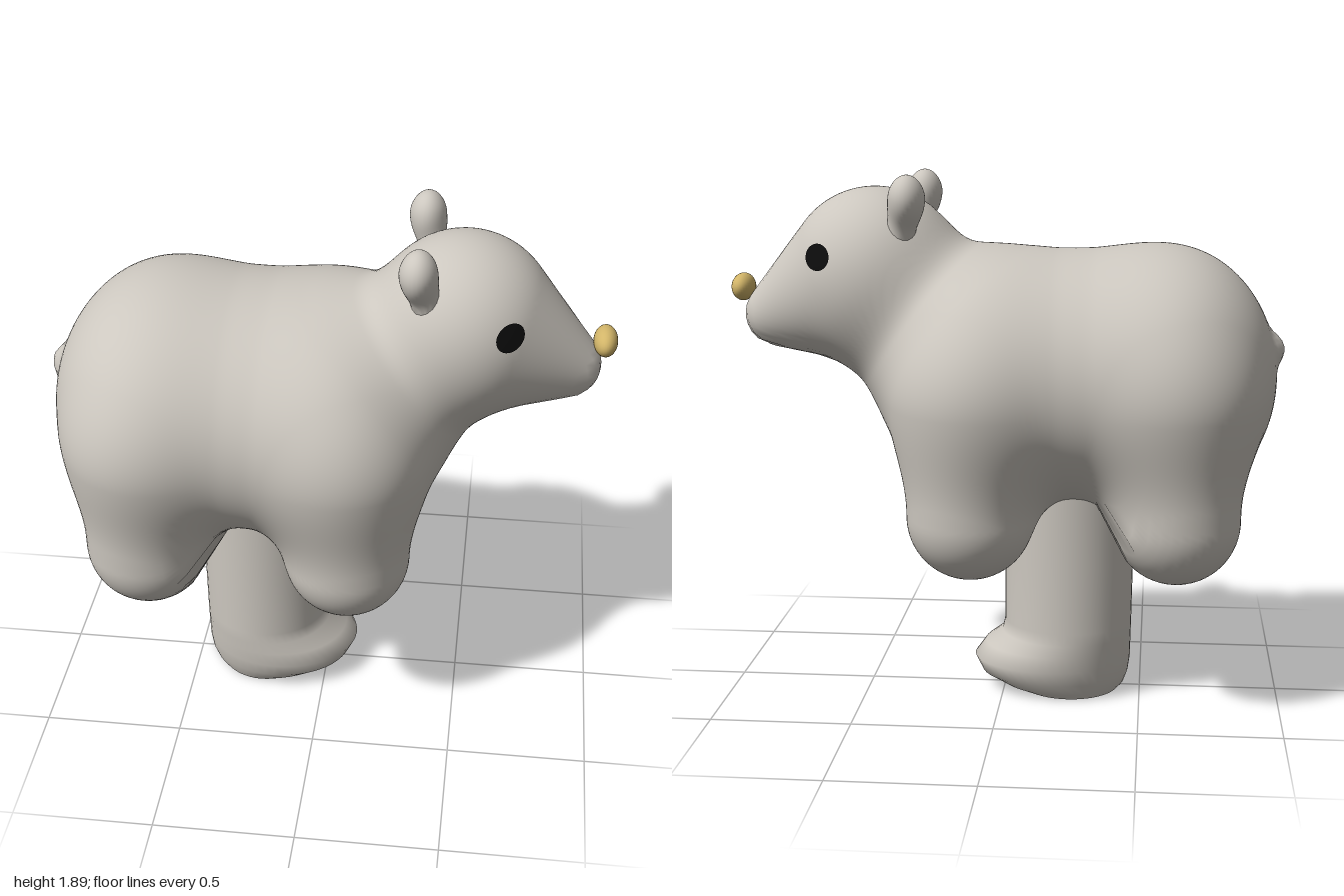
import * as THREE from 'three';

const V = (x, y, z) => new THREE.Vector3(x, y, z);
const mat = (name, color, side = THREE.FrontSide) => {
  const m = new THREE.MeshStandardMaterial({ color, side });
  m.name = name;
  return m;
};

// Distance to an ellipsoid
function ellipsoid(p, c, r) {
  const x = p.x - c.x, y = p.y - c.y, z = p.z - c.z;
  const k0 = Math.hypot(x / r.x, y / r.y, z / r.z);
  const k1 = Math.hypot(x / r.x ** 2, y / r.y ** 2, z / r.z ** 2);
  return k1 < 1e-6 ? -Math.min(r.x, r.y, r.z) : k0 * (k0 - 1) / k1;
}

// Distance to a round-ended cone from a (radius ra) to b (radius rb)
function roundCone(p, a, ra, b, rb) {
  const ab = b.clone().sub(a), ap = p.clone().sub(a), len = ab.length();
  const along = ap.dot(ab) / len;
  const across = Math.sqrt(Math.max(ap.lengthSq() - along * along, 0));
  const lean = (ra - rb) / Math.sqrt(len * len - (ra - rb) ** 2);
  const t = Math.min(Math.max((along - across * lean) / len, 0), 1);
  return Math.hypot(along - t * len, across) - (ra + (rb - ra) * t);
}

// Soft union of two distances
function blend(a, b, k) {
  const h = Math.max(k - Math.abs(a - b), 0) / k;
  return Math.min(a, b) - h * h * k / 4;
}

const REAR = V(-0.57, 1.17, 0), REAR_R = V(0.4, 0.47, 0.555);
const CHEST = V(0.04, 1.15, 0), CHEST_R = V(0.4, 0.475, 0.555);
const BELLY = V(-0.27, 1.17, 0), BELLY_R = V(0.6, 0.45, 0.515);
const HEAD = V(0.47, 1.52, 0), SNOUT = V(0.83, 1.38, 0);
const NECK_A = V(0.15, 1.25, 0), NECK_B = V(0.42, 1.45, 0);
const TAIL = V(-0.945, 1.27, 0), TAIL_R = V(0.05, 0.05, 0.05);
const LEGS = [-0.62, 0.1].map(x => [-1, 1].map(s => [V(x, 1.1, 0.3 * s), V(x, 0.705, 0.28 * s)]));

// The whole soft body: trunk, four stub legs, neck, head, snout and tail
function bodyField(p) {
  let d = blend(ellipsoid(p, REAR, REAR_R), ellipsoid(p, CHEST, CHEST_R), 0.1);
  d = blend(d, ellipsoid(p, BELLY, BELLY_R), 0.12);
  for (const [l, r] of LEGS) {
    const pair = blend(roundCone(p, l[0], 0.225, l[1], 0.225), roundCone(p, r[0], 0.225, r[1], 0.225), 0.2);
    d = blend(d, pair, 0.13);
  }
  d = blend(d, roundCone(p, NECK_A, 0.35, NECK_B, 0.27), 0.1);
  d = blend(d, roundCone(p, HEAD, 0.32, SNOUT, 0.12), 0.08);
  return blend(d, ellipsoid(p, TAIL, TAIL_R), 0.05);
}

function gradient(field, p, e = 0.002) {
  const g = V(0, 0, 0);
  for (const a of ['x', 'y', 'z']) {
    const q = p.clone();
    q[a] += e;
    const hi = field(q);
    q[a] -= 2 * e;
    g[a] = (hi - field(q)) / (2 * e);
  }
  return g;
}

// Shrink a sphere around the centre until it meets the field's surface
function shrinkWrap(field, centre, reach, cols, rows) {
  const geo = new THREE.SphereGeometry(1, cols, rows);
  const pos = geo.attributes.position, nor = geo.attributes.normal;
  const dir = V(0, 0, 0), p = V(0, 0, 0);
  const at = t => field(p.copy(centre).addScaledVector(dir, t));
  for (let i = 0; i < pos.count; i++) {
    dir.fromBufferAttribute(pos, i).normalize();
    const step = reach / 50;
    let hi = reach;
    while (hi > step && at(hi - step) > 0) hi -= step;
    let lo = hi - step;
    for (let n = 0; n < 12; n++) {
      const mid = (lo + hi) / 2;
      if (at(mid) > 0) hi = mid; else lo = mid;
    }
    at(hi);
    pos.setXYZ(i, p.x, p.y, p.z);
    const g = gradient(field, p).normalize();
    nor.setXYZ(i, g.x, g.y, g.z);
  }
  return geo;
}

// Pedestal rings: height, back x, front x, half width
function pedestalGeometry() {
  const rings = [
    [0.86, -0.47, 0, 0.235], [0.5, -0.47, 0, 0.236], [0.26, -0.466, 0.0, 0.237],
    [0.215, -0.465, 0.01, 0.238], [0.17, -0.464, 0.072, 0.24], [0.115, -0.463, 0.112, 0.242],
    [0.06, -0.455, 0.085, 0.226], [0.02, -0.44, 0.01, 0.2], [0, -0.42, -0.06, 0.185],
  ];
  const n = 48, pts = [], idx = [];
  for (const [y, back, front, half] of rings) {
    const c = (back + front) / 2, r = (front - back) / 2;
    for (let i = 0; i < n; i++) {
      const a = i / n * Math.PI * 2;
      pts.push(c + r * Math.cos(a), y, half * Math.sin(a));
    }
  }
  for (let j = 0; j < rings.length - 1; j++) {
    for (let i = 0; i < n; i++) {
      const a = j * n + i, b = j * n + (i + 1) % n;
      idx.push(a, b, a + n, b, b + n, a + n);
    }
  }
  // Flat sole with its own corners so its edge stays sharp
  const last = (rings.length - 1) * n, base = pts.length / 3;
  for (let i = 0; i < n; i++) pts.push(...pts.slice((last + i) * 3, (last + i) * 3 + 3));
  pts.push(-0.24, 0, 0);
  for (let i = 0; i < n; i++) idx.push(base + n, base + i, base + (i + 1) % n);
  const geo = new THREE.BufferGeometry();
  geo.setAttribute('position', new THREE.Float32BufferAttribute(pts, 3));
  geo.setIndex(idx);
  geo.computeVertexNormals();
  return geo;
}

// Thin disc laid on the side of the head
function eyeGeometry(side) {
  const geo = new THREE.CircleGeometry(0.046, 24);
  if (side < 0) geo.rotateY(Math.PI);
  geo.translate(0.632, 1.608, 0.29 * side);
  const pos = geo.attributes.position, p = V(0, 0, 0);
  for (let i = 0; i < pos.count; i++) {
    p.fromBufferAttribute(pos, i);
    for (let n = 0; n < 8; n++) p.z -= (bodyField(p) - 0.005) / gradient(bodyField, p).z;
    pos.setXYZ(i, p.x, p.y, p.z);
  }
  geo.computeVertexNormals();
  return geo;
}

export function createModel() {
  const group = new THREE.Group();
  const fur = mat('warm grey', 0xccc7bf);
  const tan = mat('tan', 0xd2b569);
  const black = mat('black', 0x0c0c0c, THREE.DoubleSide);
  const add = (name, geo, material) => {
    const mesh = new THREE.Mesh(geo, material);
    mesh.name = name;
    group.add(mesh);
    return mesh;
  };

  add('body', shrinkWrap(bodyField, V(-0.1, 1.2, 0), 1.3, 200, 140), fur);
  add('pedestalFoot', pedestalGeometry(), fur);

  for (const [side, label] of [[1, 'right'], [-1, 'left']]) {
    // Rounded ear on a short stem
    const c = V(0.322, 1.808, 0.236 * side), r = V(0.057, 0.082, 0.078);
    const root = V(0.36, 1.64, 0.19 * side);
    const earField = p => blend(ellipsoid(p, c, r), roundCone(p, c, 0.045, root, 0.055), 0.05);
    add(label + 'Ear', shrinkWrap(earField, c, 0.3, 32, 24), fur);
    add(label + 'Eye', eyeGeometry(side), black);
  }

  const nose = add('nose', new THREE.SphereGeometry(1, 32, 20), tan);
  nose.scale.set(0.042, 0.05, 0.075);
  nose.position.set(0.957, 1.475, 0);
  return group;
}
